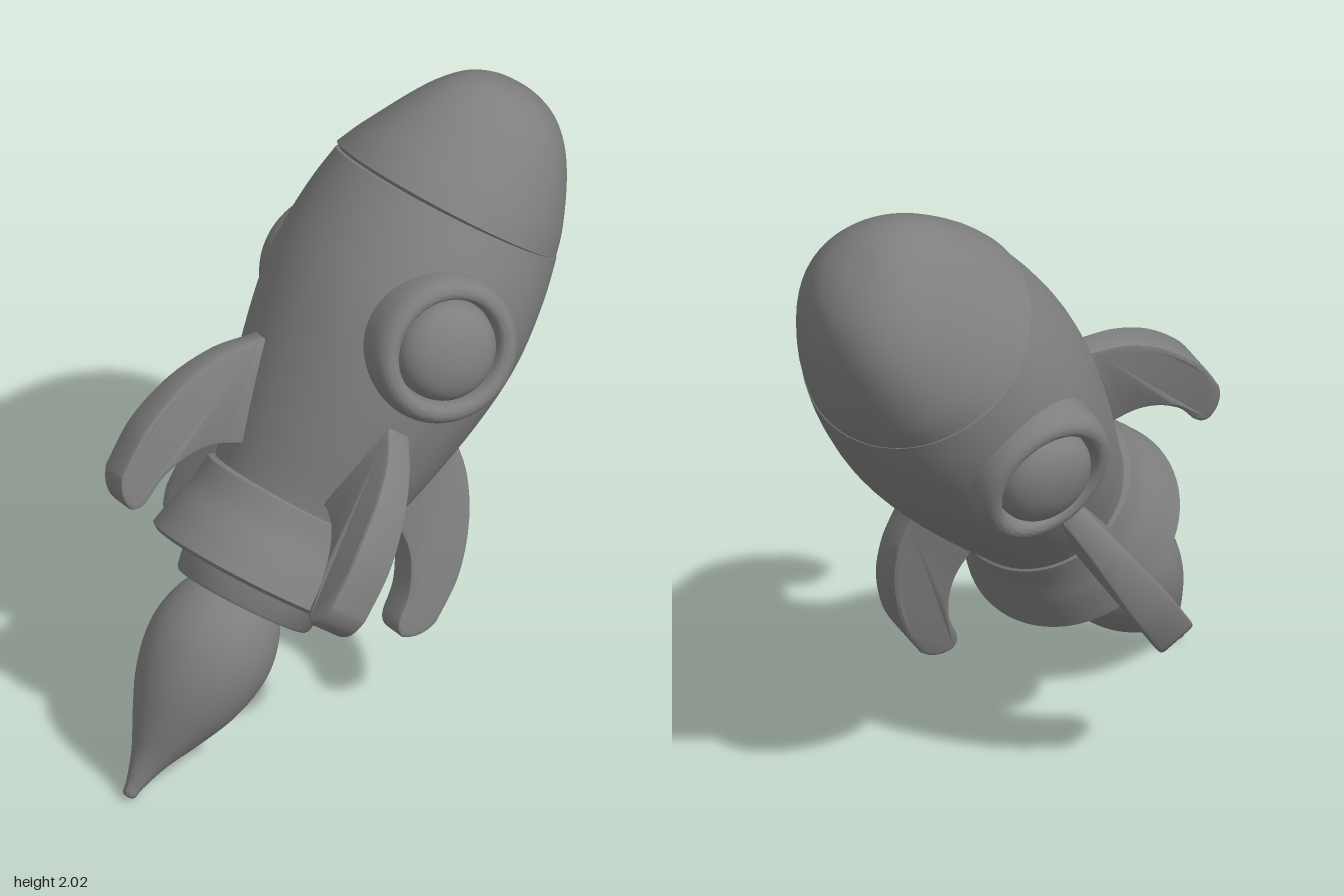
import * as THREE from 'three';
import { toCreasedNormals } from 'three/addons/utils/BufferGeometryUtils.js';

const material = new THREE.MeshStandardMaterial({ color: 0x7e7e7e });
const toVectors = (points) => points.map(([x, y]) => new THREE.Vector2(x, y));
const smooth = (points, n = 40) => new THREE.SplineCurve(toVectors(points)).getPoints(n)
  .map((p) => p.setX(Math.max(p.x, 0)));

function addMesh(parent, name, geometry) {
  const mesh = new THREE.Mesh(geometry, material);
  mesh.name = name;
  parent.add(mesh);
  return mesh;
}

// Moves every vertex in depth by a rule
function reshapeDepth(geometry, rule) {
  const p = geometry.attributes.position;
  for (let i = 0; i < p.count; i++) p.setZ(i, rule(p.getX(i), p.getY(i), p.getZ(i)));
  return toCreasedNormals(geometry, 0.6);
}

// Profiles run from the bottom up, as [radius, height]
function turn(parent, name, profile, depthRule = (x, y, z) => z) {
  return addMesh(parent, name, reshapeDepth(new THREE.LatheGeometry(profile, 64), depthRule));
}

// Curved swept-back fin in the plane of radius and height, thinner towards its upper root
function finGeometry() {
  const thickness = 0.135, bevel = 0.014;
  const shape = new THREE.Shape();
  shape.moveTo(0.22, 0.68);
  shape.lineTo(0.35, 0.675);
  shape.splineThru(toVectors([[0.385, 0.645], [0.48, 0.56], [0.56, 0.43], [0.61, 0.26], [0.613, 0.1]]));
  shape.quadraticCurveTo(0.59, 0.028, 0.53, 0.015);
  shape.quadraticCurveTo(0.495, 0.02, 0.488, 0.065);
  shape.splineThru(toVectors([[0.475, 0.15], [0.43, 0.24], [0.37, 0.3], [0.29, 0.335]]));
  shape.lineTo(0.2, 0.34);
  const geometry = new THREE.ExtrudeGeometry(shape, {
    depth: thickness - 2 * bevel, curveSegments: 10,
    bevelThickness: bevel, bevelSize: bevel, bevelOffset: -bevel, bevelSegments: 2,
  });
  geometry.translate(0, 0, -thickness / 2 + bevel);
  return reshapeDepth(geometry, (x, y, z) => z * (1 - 0.4 * THREE.MathUtils.smoothstep(y, 0.25, 0.68)));
}

// Round window, turned around its own outward axis
function makeWindow(name) {
  const porthole = new THREE.Group();
  porthole.name = name;
  turn(porthole, 'windowFrame', [
    ...smooth([[0.235, 0.25], [0.24, 0.36], [0.238, 0.43], [0.222, 0.472], [0.195, 0.485], [0.172, 0.472], [0.163, 0.43]], 24),
    new THREE.Vector2(0.16, 0.38),
  ]);
  turn(porthole, 'windowGlass', smooth([[0.162, 0.42], [0.154, 0.47], [0.12, 0.51], [0.06, 0.535], [0, 0.542]], 20));
  return porthole;
}

export function createModel() {
  const group = new THREE.Group();
  const rocket = new THREE.Group();
  rocket.name = 'rocket';
  group.add(rocket);

  // Hull, deeper than wide around the windows
  const hull = turn(rocket, 'hull', [
    ...smooth([[0.265, 0.2], [0.285, 0.3], [0.329, 0.47], [0.371, 0.66], [0.399, 0.83], [0.409, 0.98], [0.398, 1.15], [0.376, 1.283]]),
    new THREE.Vector2(0.36, 1.288),
    new THREE.Vector2(0, 1.288),
  ], (x, y, z) => z * (1.03 + 0.08 * Math.sin(Math.PI * THREE.MathUtils.clamp((y - 0.2) / 1.09, 0, 1))));
  hull.position.x = 0.008;

  // Nose cone, leaning slightly left, its tip narrower and drawn forward on the right side
  const nose = turn(rocket, 'noseCone', [
    new THREE.Vector2(0, 1.28),
    new THREE.Vector2(0.362, 1.281),
    ...smooth([[0.378, 1.292], [0.353, 1.38], [0.295, 1.515], [0.236, 1.61], [0.165, 1.675], [0.08, 1.708], [0, 1.714]]),
  ], (x, y, z) => {
    const t = (y - 1.28) / 0.434;
    return z * (1.03 - 0.05 * t + 1.1 * x * t) + (0.035 - 0.2 * x) * t;
  });
  nose.rotation.z = -0.022;
  nose.position.x = -0.026;

  // Flared skirt, nozzle and flame
  turn(rocket, 'skirt', [
    new THREE.Vector2(0, 0),
    new THREE.Vector2(0.335, -0.012),
    ...smooth([[0.352, 0], [0.328, 0.1], [0.304, 0.18], [0.293, 0.26]], 16),
    new THREE.Vector2(0.27, 0.27),
  ], (x, y, z) => z * 1.02);
  turn(rocket, 'nozzle', toVectors([
    [0, -0.07], [0.165, -0.07], [0.175, -0.095], [0.218, -0.095], [0.226, -0.085], [0.245, 0.02],
  ]));
  const flame = turn(rocket, 'flame', smooth([
    [0, -0.795], [0.02, -0.787], [0.03, -0.745], [0.062, -0.655], [0.115, -0.55], [0.165, -0.44],
    [0.194, -0.33], [0.197, -0.23], [0.17, -0.13], [0.12, -0.05],
  ], 60));
  flame.position.x = -0.018;
  flame.rotation.set(0.02, 0, -0.025);

  // Four fins around the hull, each with its own small shift down and outwards
  const fin = finGeometry();
  [['leftFin', -0.01, 0], ['backFin', -0.03, 0.018], ['rightFin', 0.015, 0], ['frontFin', -0.03, 0.018]]
    .forEach(([name, lift, out], i) => {
      const mesh = addMesh(rocket, name, fin);
      mesh.rotation.y = i * Math.PI / 2;
      mesh.translateX(out).translateY(lift);
    });

  // Windows on the front and back of the hull
  for (const side of [1, -1]) {
    const porthole = makeWindow(side > 0 ? 'frontWindow' : 'backWindow');
    porthole.position.set(-0.008, 0.915, 0);
    porthole.rotation.x = side * Math.PI / 2;
    rocket.add(porthole);
  }

  // Tilt the upright rocket into its flying pose
  const up = new THREE.Vector3(0.613, 0.775, -0.155).normalize();
  const left = up.clone().cross(new THREE.Vector3(-0.11, 0.25, 0.96)).normalize();
  const front = left.clone().cross(up);
  rocket.quaternion.setFromRotationMatrix(new THREE.Matrix4().makeBasis(left, up, front));
  rocket.position.set(-0.32, 0.598, 0.026);
  return group;
}
